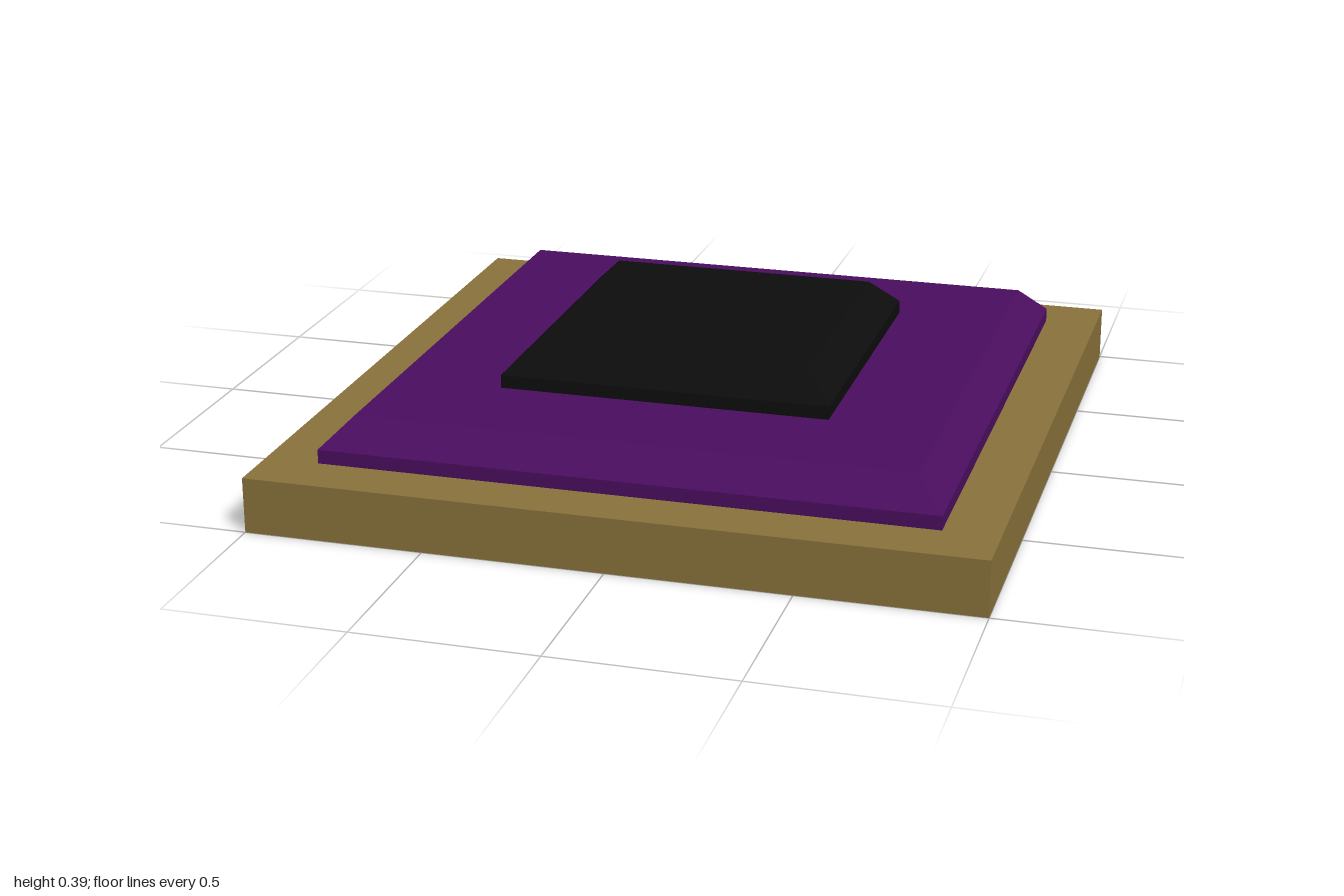
import * as THREE from 'three';

// Open-bottomed square shell: a four-sided lathe through [halfWidth, y] points, closed at the top
function squareShell(name, profile, material) {
  const points = profile.map(([half, y]) => new THREE.Vector2(half * Math.SQRT2, y));
  points.push(new THREE.Vector2(0, profile[profile.length - 1][1]));
  const geometry = new THREE.LatheGeometry(points, 4, Math.PI / 4).toNonIndexed();
  geometry.computeVertexNormals(); // flat facets
  const mesh = new THREE.Mesh(geometry, material);
  mesh.name = name;
  return mesh;
}

function flatColor(name, color) {
  const material = new THREE.MeshStandardMaterial({ color, side: THREE.DoubleSide });
  material.name = name;
  return material;
}

export function createModel() {
  const gold = flatColor('dull gold', 0x8b733c);
  const purple = flatColor('deep purple', 0x4b0e60);
  const black = flatColor('black', 0x0d0d0d);

  const model = new THREE.Group();
  model.name = 'steppedTile';

  // Nested shells, all standing on the ground and rising through one another
  model.add(
    squareShell('base', [[1, 0], [1, 0.155]], gold),
    squareShell('middleTier', [[0.848, 0], [0.848, 0.194], [0.77, 0.272]], purple),
    squareShell('topTier', [[0.463, 0], [0.463, 0.309], [0.385, 0.387]], black),
  );
  return model;
}
